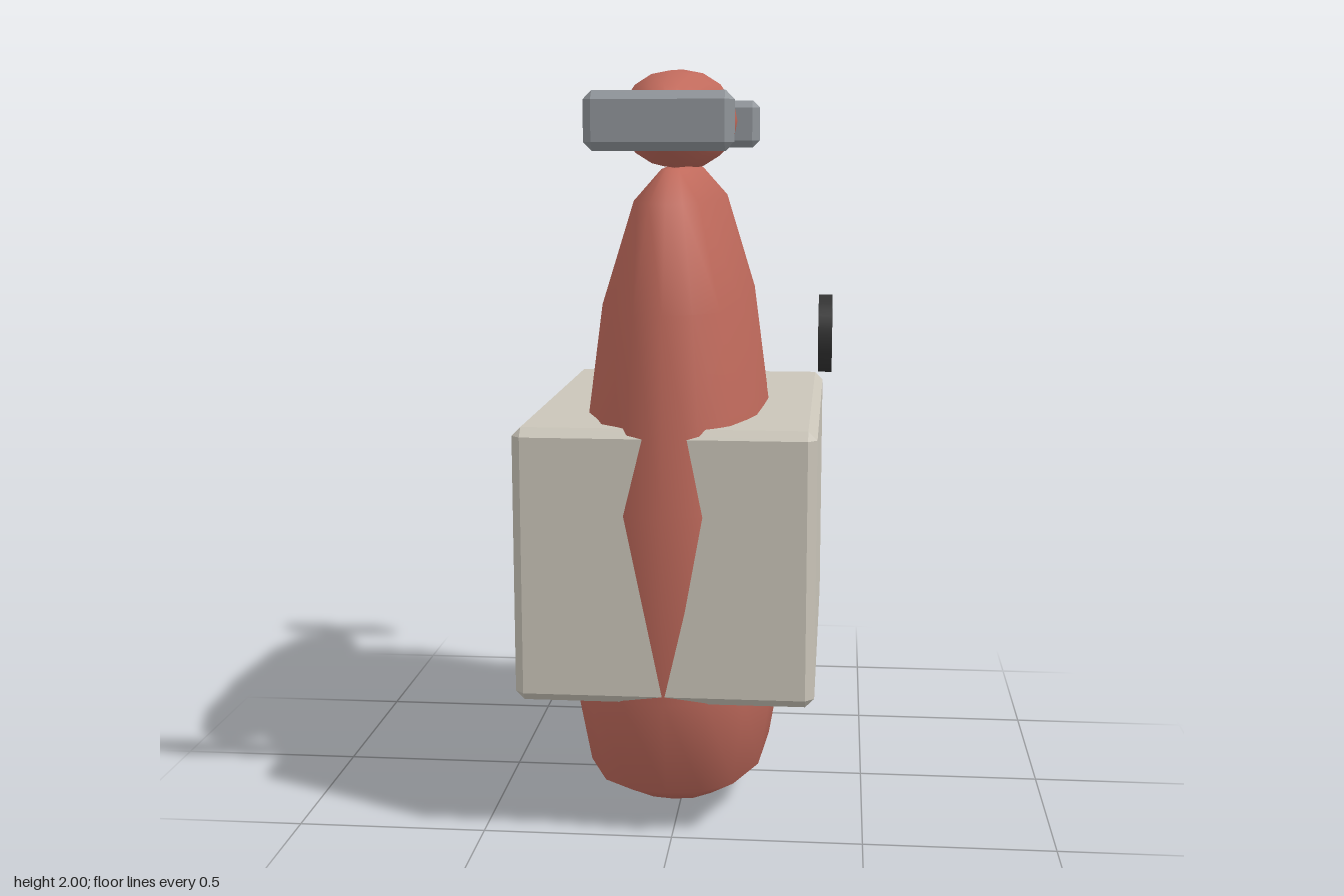
import * as THREE from 'three';
import { mergeVertices } from 'three/addons/utils/BufferGeometryUtils.js';
import { ConvexGeometry } from 'three/addons/geometries/ConvexGeometry.js';

const mat = (name, color) => {
  const m = new THREE.MeshStandardMaterial({ color });
  m.name = name;
  return m;
};

// Box with every edge chamfered by c
function chamferBox(w, h, d, c) {
  const pts = [];
  for (const sx of [-1, 1]) for (const sy of [-1, 1]) for (const sz of [-1, 1])
    for (let full = 0; full < 3; full++) {
      const [x, y, z] = [w, h, d].map((s, i) => s / 2 - (i === full ? 0 : c));
      pts.push(new THREE.Vector3(sx * x, sy * y, sz * z));
    }
  return new ConvexGeometry(pts);
}

// Weld seams so shading is smooth all round
function smooth(geo) {
  geo.deleteAttribute('uv');
  geo.deleteAttribute('normal');
  const g = mergeVertices(geo, 1e-4);
  g.computeVertexNormals();
  return g;
}

// Tall rounded slab, narrowing in x towards the top
function bodyGeometry() {
  // rows: ring radius factor, height, half width in x
  const rows = [
    [0, 0.003, 0.27], [0.52, 0.03, 0.28], [0.835, 0.12, 0.298], [0.966, 0.385, 0.305], [1, 0.88, 0.271],
    [0.966, 1.387, 0.207], [0.835, 1.655, 0.137], [0.52, 1.735, 0.09], [0, 1.757, 0.08],
  ];
  // squarish quarter ring from the z end to the x side
  const ringX = [0, 0.375, 0.685, 0.925, 1];
  const ringZ = [1, 0.966, 0.835, 0.52, 0];
  const verts = [], index = [], n = 16;
  for (const [r, y, halfX] of rows) {
    for (let i = 0; i < n; i++) {
      const q = i % 8, k = q <= 4 ? q : 8 - q;
      const sx = i < 8 ? 1 : -1, sz = i <= 4 || i >= 12 ? 1 : -1;
      verts.push(sx * ringX[k] * r * halfX, y, sz * ringZ[k] * r * 0.582);
    }
  }
  for (let j = 0; j < rows.length - 1; j++) {
    for (let i = 0; i < n; i++) {
      const a = j * n + i, b = j * n + (i + 1) % n;
      if (j > 0) index.push(a, b, a + n);
      if (j < rows.length - 2) index.push(b, b + n, a + n);
      else if (j === rows.length - 2) continue;
      if (j === 0) continue;
    }
  }
  const g = new THREE.BufferGeometry();
  g.setAttribute('position', new THREE.Float32BufferAttribute(verts, 3));
  g.setIndex(index);
  return smooth(g);
}

export function createModel() {
  const red = mat('clay red', 0xc06a5c);
  const cream = mat('warm grey', 0xcac5b9);
  const steel = mat('steel grey', 0x90959a);
  const black = mat('charcoal', 0x333333);

  const model = new THREE.Group();
  const add = (name, geo, material, x, y, z) => {
    const mesh = new THREE.Mesh(geo, material);
    mesh.name = name;
    mesh.position.set(x, y, z);
    model.add(mesh);
    return mesh;
  };
  const cx = -0.015;

  add('body', bodyGeometry(), red, cx, 0, 0);

  // Long rounded bar across the top
  const half = [[0.036, 0.565], [0.08, 0.507], [0.121, 0.33]];
  const profile = [
    [0, -0.577], ...half.map(([r, z]) => [r, -z]), [0.135, 0],
    ...half.map(([r, z]) => [r, z]).reverse(), [0, 0.577],
  ].map(([r, z]) => new THREE.Vector2(r, z));
  const bar = new THREE.LatheGeometry(profile, 16);
  bar.rotateX(Math.PI / 2).scale(1.07, 1, 1);
  add('topBar', smooth(bar), red, cx, 1.865, 0);

  // Boxy casing around the middle
  add('casing', chamferBox(0.77, 0.715, 1.125, 0.023), cream, cx, 0.7425, 0);

  // Plates at both ends of the top bar
  for (const s of [1, -1])
    add(s > 0 ? 'frontPlate' : 'backPlate', chamferBox(0.36, 0.142, 0.07, 0.021), steel, cx, 1.858, s * 0.625);

  // Round knob on the left side
  add('sideKnob', new THREE.CylinderGeometry(0.107, 0.107, 0.037, 32).rotateZ(Math.PI / 2), black, 0.381, 1.283, 0);

  return model;
}
